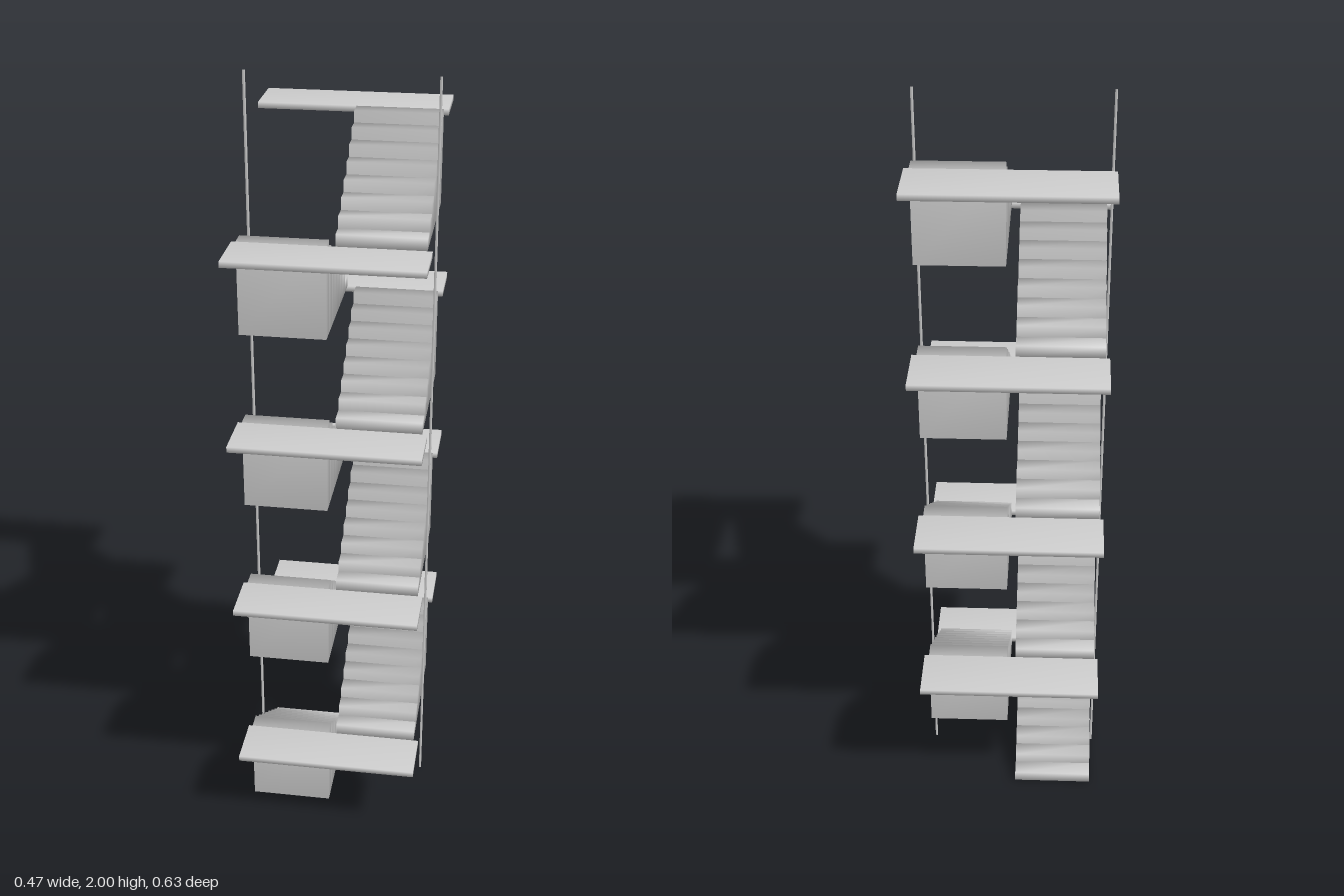
import * as THREE from 'three';
import { mergeVertices } from 'three/addons/utils/BufferGeometryUtils.js';

const material = new THREE.MeshStandardMaterial({ color: 0xcccccc });

// Box given by its min and max corners, with normals shared at the corners for soft shading
function softBox(name, [x0, y0, z0], [x1, y1, z1]) {
  let geometry = new THREE.BoxGeometry(x1 - x0, y1 - y0, z1 - z0);
  geometry.deleteAttribute('normal');
  geometry.deleteAttribute('uv');
  geometry = mergeVertices(geometry);
  geometry.computeVertexNormals();
  const mesh = new THREE.Mesh(geometry, material);
  mesh.name = name;
  mesh.position.set((x0 + x1) / 2, (y0 + y1) / 2, (z0 + z1) / 2);
  return mesh;
}

const FLIGHTS = 8;
const STEPS = 8;
const RISE = 0.235; // height of one flight
const BACK = -0.174, FRONT = 0.178; // ends of the flights
const TREAD = (FRONT - BACK) / STEPS;

// Solid steps, each standing on the base of its flight
function createFlight(index) {
  const flight = new THREE.Group();
  flight.name = 'flight';
  const towardsFront = index % 2 === 0;
  const [x0, x1] = towardsFront ? [-0.225, -0.012] : [0.01, 0.223];
  const base = index * RISE;
  for (let i = 0; i < STEPS; i++) {
    const z = towardsFront ? BACK + i * TREAD : FRONT - (i + 1) * TREAD;
    flight.add(softBox('step', [x0, base, z], [x1, base + (i + 1) * RISE / STEPS, z + TREAD]));
  }
  return flight;
}

// Platform at the top of a flight, spanning both lanes
function createLanding(index) {
  const top = (index + 1) * RISE;
  const [z0, z1] = index % 2 === 0 ? [FRONT, 0.312] : [-0.314, BACK];
  return softBox('landing', [-0.235, top - 0.015, z0], [0.235, top, z1]);
}

export function createModel() {
  const model = new THREE.Group();
  model.name = 'staircase';
  for (let i = 0; i < FLIGHTS; i++) model.add(createFlight(i), createLanding(i));

  // Slim full-height poles on both sides
  for (const x of [-0.231, 0.229]) {
    model.add(softBox('pole', [x - 0.003, 0, -0.001], [x + 0.003, 2, 0.005]));
  }
  return model;
}
